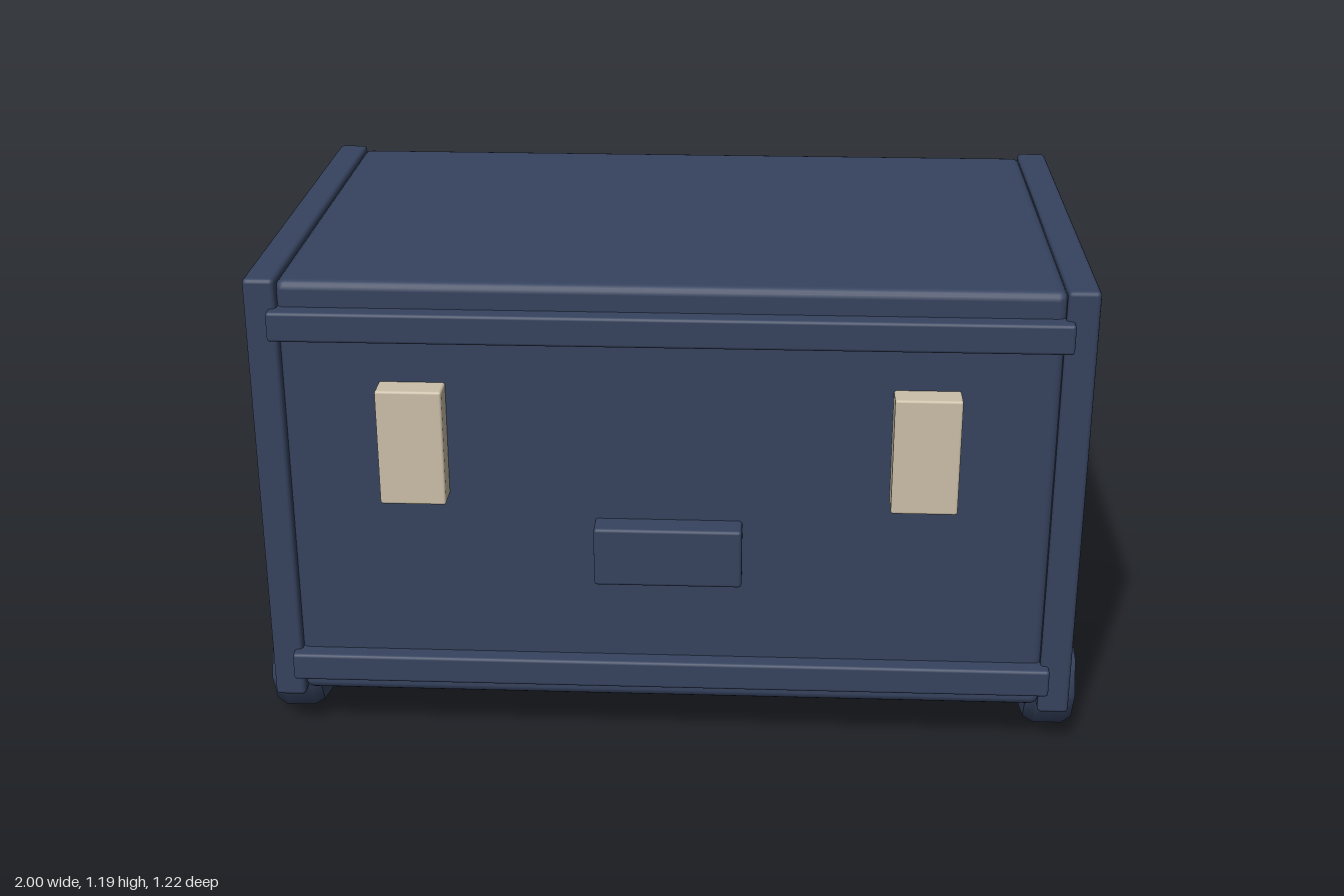
import * as THREE from 'three';
import { toCreasedNormals } from 'three/addons/utils/BufferGeometryUtils.js';
import { RoundedBoxGeometry } from 'three/addons/geometries/RoundedBoxGeometry.js';

export function createModel() {
  const group = new THREE.Group();
  const navy = new THREE.MeshStandardMaterial({ name: 'navy', color: 0x36435f });
  const tan = new THREE.MeshStandardMaterial({ name: 'tan', color: 0xcbbfa8 });

  // Softly bevelled box given by its limits on each axis
  const box = (name, [x0, x1], [y0, y1], [z0, z1], bevel, material = navy) => {
    const geometry = new RoundedBoxGeometry(x1 - x0, y1 - y0, z1 - z0, 2, bevel);
    const mesh = new THREE.Mesh(geometry, material);
    mesh.name = name;
    mesh.position.set((x0 + x1) / 2, (y0 + y1) / 2, (z0 + z1) / 2);
    group.add(mesh);
  };

  // Main body of the chest
  box('body', [-0.905, 0.905], [0.12, 1.187], [-0.597, 0.545], 0.022);

  // Front trim strips and handle
  box('lowerTrim', [-0.92, 0.92], [0.17, 0.24], [0.53, 0.588], 0.008);
  box('upperTrim', [-0.92, 0.92], [1.053, 1.125], [0.53, 0.588], 0.008);
  box('handle', [-0.175, 0.175], [0.458, 0.605], [0.53, 0.608], 0.008);

  // Seven-sided wheel with chamfered rims, one corner facing forward
  const profile = [[0, -0.06], [0.105, -0.06], [0.12, -0.035], [0.12, 0.035], [0.105, 0.06], [0, 0.06]]
    .map(([r, y]) => new THREE.Vector2(r, y));
  const wheelGeometry = toCreasedNormals(new THREE.LatheGeometry(profile, 7), 0.95);
  wheelGeometry.rotateZ(-Math.PI / 2);

  for (const [side, s] of [['left', 1], ['right', -1]]) {
    const span = (a, b) => (s > 0 ? [a, b] : [-b, -a]);
    box(side + 'Panel', span(0.9, 0.975), [0.11, 1.195], [-0.607, 0.56], 0.011);
    box(side + 'Latch', span(0.52, 0.675), [0.66, 0.945], [0.53, 0.608], 0.006, tan);

    for (const [end, z] of [['Front', 0.385], ['Rear', -0.43]]) {
      const wheel = new THREE.Mesh(wheelGeometry, navy);
      wheel.name = side + end + 'Wheel';
      wheel.position.set(s * 0.94, 0.12, z);
      group.add(wheel);
    }
  }
  return group;
}
